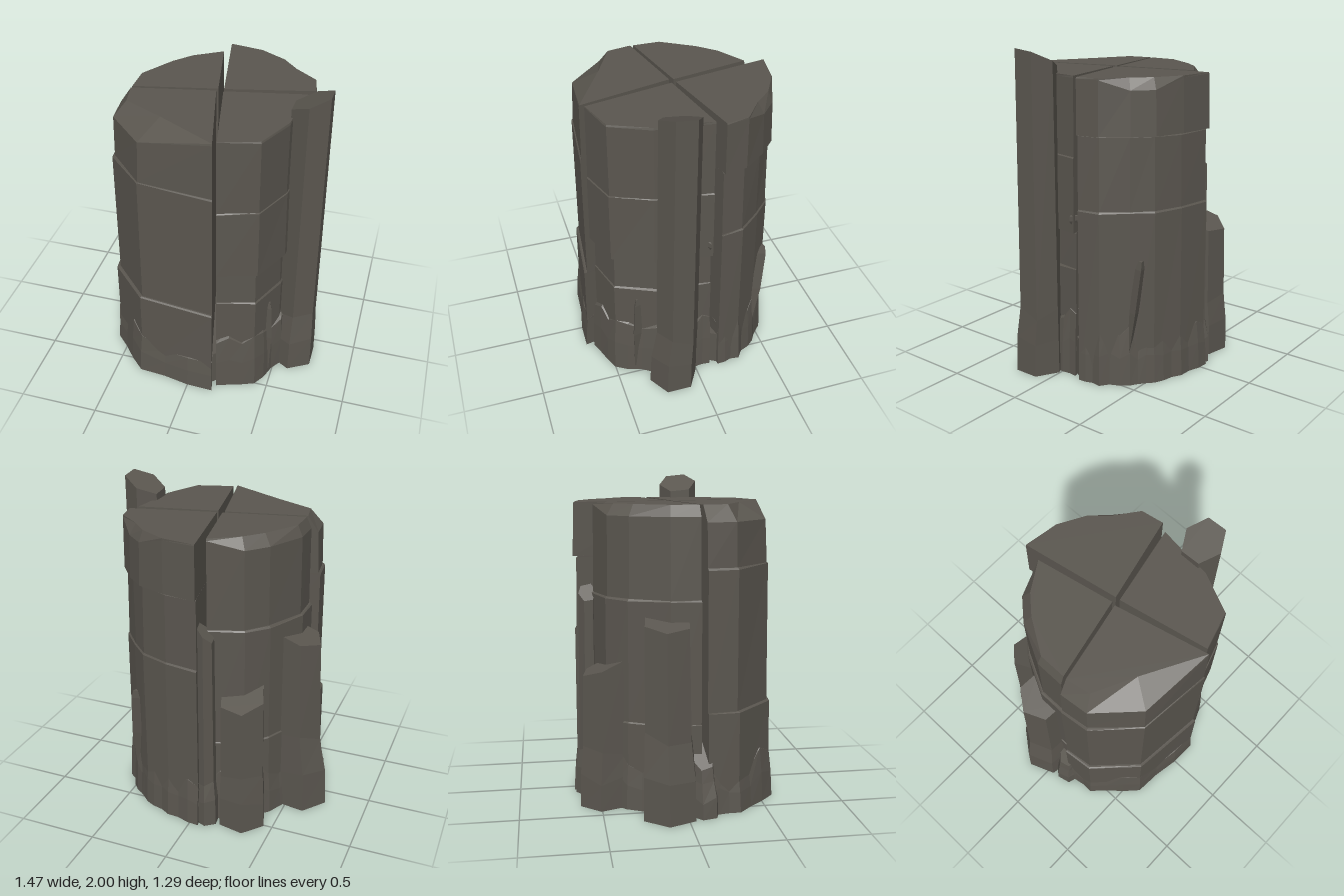
import * as THREE from 'three';

const rock = new THREE.MeshStandardMaterial({ color: 0x5a564f });
rock.name = 'darkBasalt';
rock.flatShading = true;

let seed = 7;
const rand = (a) => {
  seed = (seed * 16807) % 2147483647;
  return (seed / 2147483647 - 0.5) * 2 * a;
};

// Solid skinned through matching rings of [x, y, z], lowest first, with both ends capped.
function loft(name, rings) {
  const n = rings[0].length;
  const area = rings[0].reduce((s, p, i) => {
    const q = rings[0][(i + 1) % n];
    return s + p[0] * q[2] - q[0] * p[2];
  }, 0);
  if (area > 0) rings = rings.map((r) => [...r].reverse());
  const pos = [];
  const tri = (a, b, c) => pos.push(...a, ...b, ...c);
  for (let k = 0; k + 1 < rings.length; k++) {
    for (let i = 0; i < n; i++) {
      const j = (i + 1) % n, lo = rings[k], up = rings[k + 1];
      tri(lo[i], lo[j], up[j]);
      tri(lo[i], up[j], up[i]);
    }
  }
  const cap = (r, flip) => {
    const flat = r.map((p) => new THREE.Vector2(p[0], -p[2]));
    for (const [a, b, c] of THREE.ShapeUtils.triangulateShape(flat, [])) {
      if (flip) tri(r[a], r[c], r[b]);
      else tri(r[a], r[b], r[c]);
    }
  };
  cap(rings[0], true);
  cap(rings[rings.length - 1], false);
  const g = new THREE.BufferGeometry();
  g.setAttribute('position', new THREE.Float32BufferAttribute(pos, 3));
  g.computeVertexNormals();
  const mesh = new THREE.Mesh(g, rock);
  mesh.name = name;
  return mesh;
}

// Scales a plan point [x, z] from the middle of the cleft.
const CX = 0.04, CZ = -0.01;
const grow = ([x, z], s) => [CX + (x - CX) * s, CZ + (z - CZ) * s];

// Ring of one wedge: its inner corner, then outer points with scale and height by rule.
const ringOf = (outer, scale, height) => {
  const inner = grow(outer[outer.length >> 1], 0.04);
  return [[inner[0], height(0), inner[1]], ...outer.map((p, i) => {
    const [x, z] = grow(p, scale(i));
    return [x, height(i), z];
  })];
};

// Splits every outline edge in three for the ragged foot.
const subdivide = (pts) => pts.slice(1).flatMap((q, i) =>
  [0, 1, 2].map((k) => pts[i].map((v, a) => v + (q[a] - v) * k / 3))).concat([pts.at(-1)]);

// Wedge: slabs are [top height, scale]; chips cut back the rim of the last slab, one per outline point.
function wedge(name, outer, slabs, flare, jagHeight, chips, drop) {
  const g = new THREE.Group();
  g.name = name;
  let y0 = 0;
  slabs.forEach(([y1, s], i) => {
    const last = i === slabs.length - 1;
    const base = y0;
    const chip = (k) => (last ? chips[k] : 0.01);
    g.add(loft('slab' + (i + 1), [
      ringOf(outer, () => s + 0.01 + rand(0.005), () => base),
      ringOf(outer, () => s - 0.002 + rand(0.005), (k) => y1 - 0.008 - (last && chip(k) > 0 ? drop : rand(0.006))),
      ringOf(outer, (k) => s - 0.005 - chip(k), () => y1),
    ]));
    y0 = y1;
  });
  const foot = subdivide(outer);
  const jag = foot.map(() => jagHeight + rand(0.07));
  const bulge = foot.map(() => rand(0.02));
  g.add(loft('foot', [[0, 0], [0.55, 0.015], [1, 0.04], [1.1, 0.12]].map(([t, shrink]) =>
    ringOf(foot, (k) => flare - shrink + bulge[k], (k) => jag[k] * t))));
  return g;
}

// Six-sided plan ring: centre, radius, turn, and height as a rule of the offset from the centre.
const hex = ([cx, cz], r, turn, height) => Array.from({ length: 6 }, (_, i) => {
  const a = turn + i * Math.PI / 3, dx = r * Math.cos(a), dz = r * Math.sin(a);
  return [cx + dx, height(dx, dz), cz + dz];
});

// Outer column with a spreading foot and a sloping top.
function column(name, top, r, foot, footR, turn, waist, height) {
  const mix = (t) => top.map((v, a) => v + (foot[a] - v) * t);
  const rad = (t) => r + (footR - r) * t;
  return loft(name, [
    hex(foot, footR, turn, () => 0),
    hex(mix(0.85), rad(0.85), turn, () => waist * 0.55 + rand(0.03)),
    hex(mix(0.3), rad(0.3), turn, () => waist + rand(0.04)),
    hex(top, r, turn, height),
  ]);
}

// Slim three-sided splinter from point a to point b, pointed below and blunt above.
function splinter(name, a, b, r) {
  const turn = Math.atan2(a[2] - CZ, a[0] - CX);
  return loft(name, [[0, 0.2], [0.5, 1], [0.92, 0.9], [1, 0.5]].map(([t, w]) => {
    const [x, y, z] = a.map((v, k) => v + (b[k] - v) * t);
    return [0, 1, 2].map((k) => {
      const d = turn + k * Math.PI * 2 / 3;
      return [x + r * w * Math.cos(d), y, z + r * w * Math.sin(d)];
    });
  }));
}

export function createModel() {
  seed = 7;
  const model = new THREE.Group();
  model.name = 'basaltStump';

  // Plan outlines of the four wedges around the cross-shaped cleft
  const backRight = [[-0.055, -0.63], [0.16, -0.595], [0.34, -0.53], [0.45, -0.43], [0.565, -0.29], [0.59, -0.15]];
  const frontRight = [[0.56, -0.1], [0.54, 0.05], [0.52, 0.25], [0.41, 0.49], [0.175, 0.56]];
  const frontLeft = [[0.155, 0.58], [-0.3, 0.53], [-0.53, 0.3], [-0.55, 0.12]];
  const backLeft = [[-0.51, 0.09], [-0.51, -0.09], [-0.39, -0.32], [-0.28, -0.44], [-0.075, -0.51]];
  model.add(
    wedge('backRightWedge', backRight, [[1.08, 0.995], [1.52, 0.97], [1.85, 0.99]], 1.03, 0.32,
      [0, 0, 0.05, 0.07, 0, 0], 0.06),
    wedge('frontRightWedge', frontRight, [[0.69, 0.98], [0.92, 0.96], [1.38, 1], [1.85, 0.98]], 1.04, 0.37,
      [0, 0, 0, 0, 0], 0),
    wedge('frontLeftWedge', frontLeft, [[0.63, 1.06], [1.49, 1.02], [1.85, 0.99]], 1.1, 0.28,
      [0, 0.27, 0.13, 0.11], 0.09),
    wedge('backLeftWedge', backLeft, [[0.55, 1.05], [1.3, 1.03], [1.85, 0.99]], 1.09, 0.3,
      [0.05, 0.05, 0.09, 0.09, 0], 0.06),
  );

  // Solid bed closing the cleft underneath
  const plan = [...backRight, ...frontRight, ...frontLeft, ...backLeft];
  model.add(loft('bed', [0, 0.25].map((y) => plan.map((p) => {
    const [x, z] = grow(p, 0.97);
    return [x, y, z];
  }))));

  // Outer columns
  model.add(
    column('tallColumn', [0.61, 0.125], 0.125, [0.6, 0.16], 0.155, Math.PI / 6, 0.4,
      (dx, dz) => 1.945 + 0.45 * dx + 0.1 * dz),
    column('middleColumn', [-0.51, -0.11], 0.15, [-0.56, -0.1], 0.18, 0.15, 0.5, (dx) => 1.18 + 0.3 * dx),
    column('shortColumn', [-0.28, -0.46], 0.145, [-0.29, -0.475], 0.16, 0.2, 0.35, (dx, dz) => 0.88 + 0.4 * dz),
    column('cleftColumn', [-0.08, -0.55], 0.055, [-0.09, -0.57], 0.075, 0.4, 0.3, (dx) => 1.3 + dx),
    column('stubColumn', [-0.55, 0.1], 0.07, [-0.58, 0.11], 0.09, 0.3, 0.2, (dx) => 0.36 + dx),
  );

  // Splinters and small chips on the walls
  model.add(
    splinter('backSplinter', [0.46, 0.14, -0.42], [0.42, 0.79, -0.49], 0.035),
    splinter('frontSplinter', [0.48, 0.04, 0.38], [0.46, 0.6, 0.35], 0.035),
    splinter('sideChip', [0.55, 0.96, -0.08], [0.55, 1.03, -0.08], 0.035),
  );
  return model;
}
